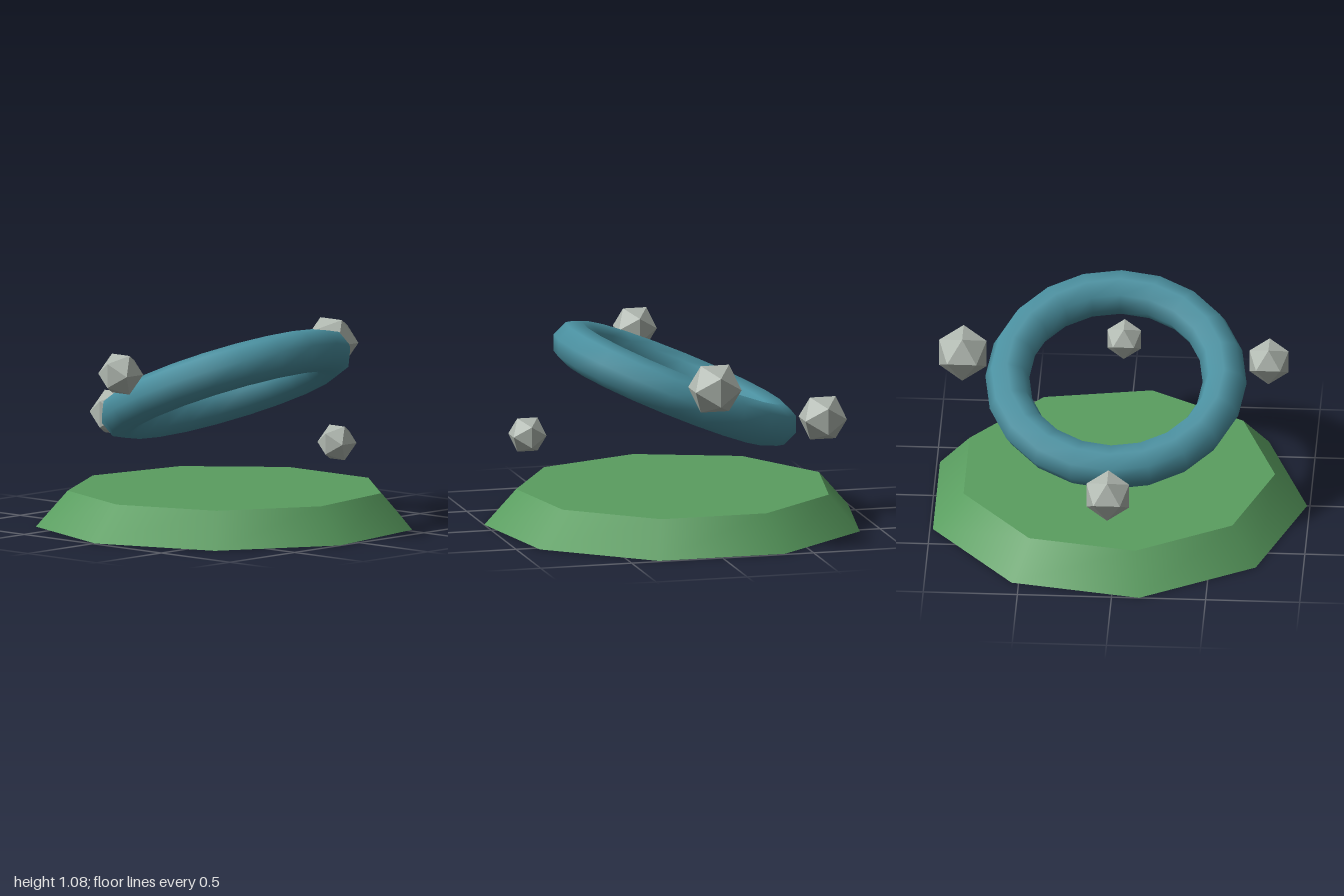
import * as THREE from 'three';

const mat = (color, flatShading = false) => {
  const m = new THREE.MeshStandardMaterial({ flatShading });
  m.color.set(color);
  return m;
};

export function createModel() {
  const model = new THREE.Group();
  const centreZ = -0.03;

  const add = (name, geometry, material, x, y, z) => {
    const mesh = new THREE.Mesh(geometry, material);
    mesh.name = name;
    mesh.position.set(x, y, z + centreZ);
    model.add(mesh);
    return mesh;
  };

  // Nine-sided tapered base, one corner facing the front
  add('base', new THREE.CylinderGeometry(0.845, 1.015, 0.19, 9), mat(0x5a9e60), 0, 0.095, 0);

  // Floating ring, tilted up towards its left
  const ringGeometry = new THREE.TorusGeometry(0.577, 0.117, 8, 20).rotateX(Math.PI / 2);
  add('ring', ringGeometry, mat(0x4a90a0), 0, 0.747, 0).rotation.z = 0.4;

  // Four faceted stones hovering around the ring
  const stone = mat(0xb0b8b0, true);
  const stones = [
    ['leftStone', 0.106, 0.81, 0.515, 0],
    ['frontStone', 0.122, 0, 0.886, 0.813],
    ['rightStone', 0.134, -0.813, 0.515, 0],
    ['backStone', 0.148, 0, 0.886, -0.813],
  ];
  for (const [name, radius, x, y, z] of stones) {
    add(name, new THREE.IcosahedronGeometry(radius, 0), stone, x, y, z);
  }

  return model;
}
